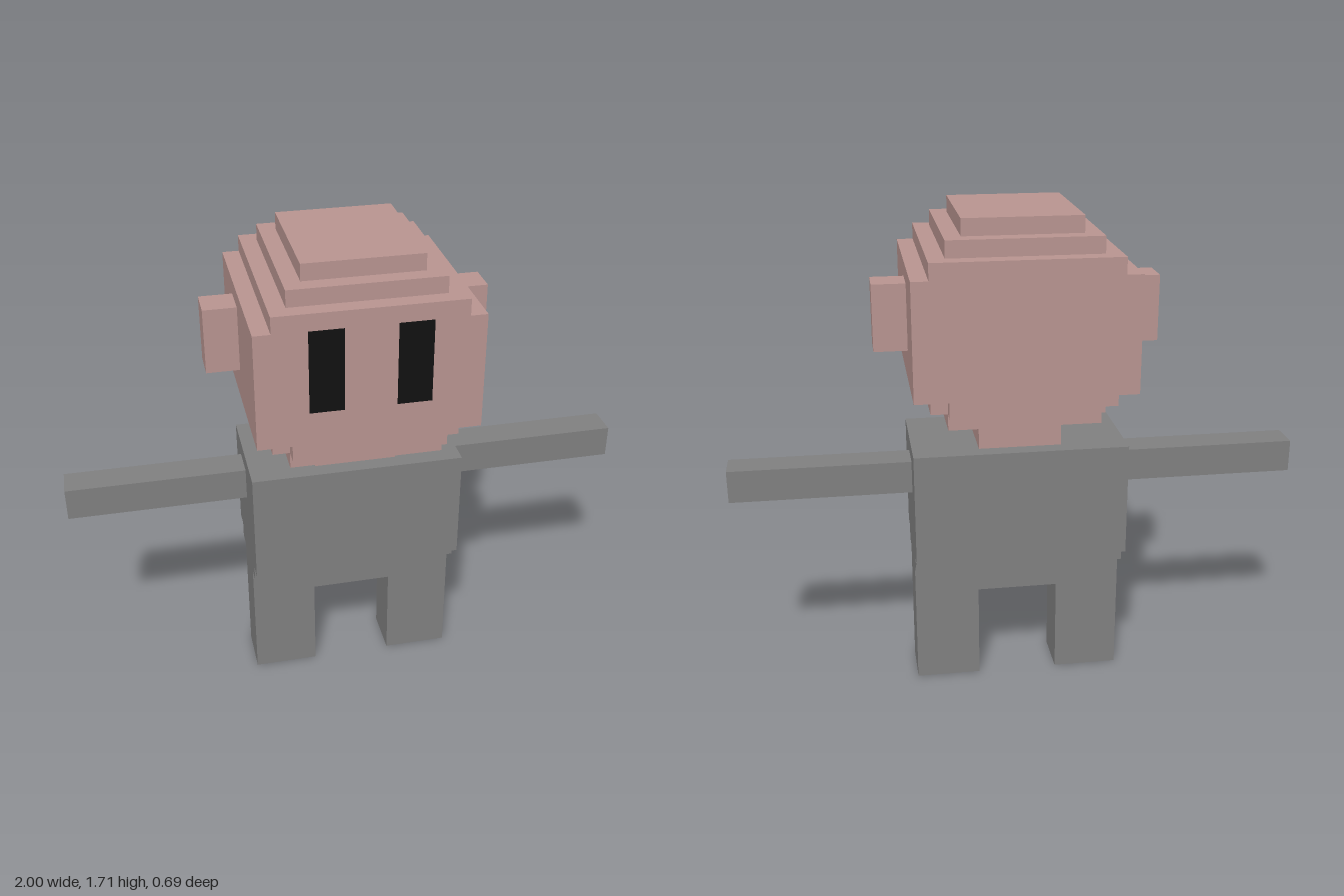
import * as THREE from 'three';

const U = 2 / 35; // one voxel

export function createModel() {
  const model = new THREE.Group();
  model.name = 'blockFigure';

  const skin = new THREE.MeshStandardMaterial({ color: 0xb99591 });
  const cloth = new THREE.MeshStandardMaterial({ color: 0x808080 });
  const black = new THREE.MeshStandardMaterial({ color: 0x111111 });

  // Box between voxel limits
  function block(name, material, [x0, x1], [y0, y1], [z0, z1], parent = model) {
    const geometry = new THREE.BoxGeometry((x1 - x0) * U, (y1 - y0) * U, (z1 - z0) * U);
    const mesh = new THREE.Mesh(geometry, material);
    mesh.position.set((x0 + x1) / 2 * U, (y0 + y1) / 2 * U, (z0 + z1) / 2 * U);
    mesh.name = name;
    parent.add(mesh);
  }

  // Same box on both sides of the body
  function pair(name, material, [x0, x1], y, z, parent = model) {
    block('left' + name, material, [x0, x1], y, z, parent);
    block('right' + name, material, [-x1, -x0], y, z, parent);
  }

  // Lower body, torso and limbs
  pair('Leg', cloth, [2.5, 6.5], [0, 6], [-2, 1]);
  block('hips', cloth, [-6.5, 6.5], [6, 8], [-2, 1]);
  block('waist', cloth, [-6.5, 6.5], [8, 9], [-3, 2]);
  block('torso', cloth, [-6.5, 6.5], [9, 16], [-4, 3]);
  pair('Arm', cloth, [6.5, 17.5], [13, 15], [-2, 0]);
  block('neck', skin, [-2.5, 2.5], [16, 18], [-3, 2]);

  // Head in stepped layers: bottom, top, half width, half depth
  const head = new THREE.Group();
  head.name = 'head';
  model.add(head);
  const layers = [
    ['chin', 18, 19, 4.5, 5],
    ['jaw', 19, 20, 4.5, 6],
    ['face', 20, 27, 6.5, 6],
    ['brow', 27, 28, 5.5, 6],
    ['upperCrown', 28, 29, 4.5, 5],
    ['crownTop', 29, 30, 3.5, 4],
  ];
  for (const [name, y0, y1, w, d] of layers) {
    block(name, skin, [-w, w], [y0, y1], [-d, d], head);
  }

  // Jaw sides leave the four corners notched
  pair('JawSide', skin, [4.5, 5.5], [19, 20], [-5, 5], head);
  pair('Ear', skin, [6.5, 8.5], [22, 26], [-2, 0], head);
  // Eyes lie almost flush with the face
  pair('Eye', black, [1.5, 3.5], [22.02, 26.98], [5, 6.03], head);

  return model;
}
